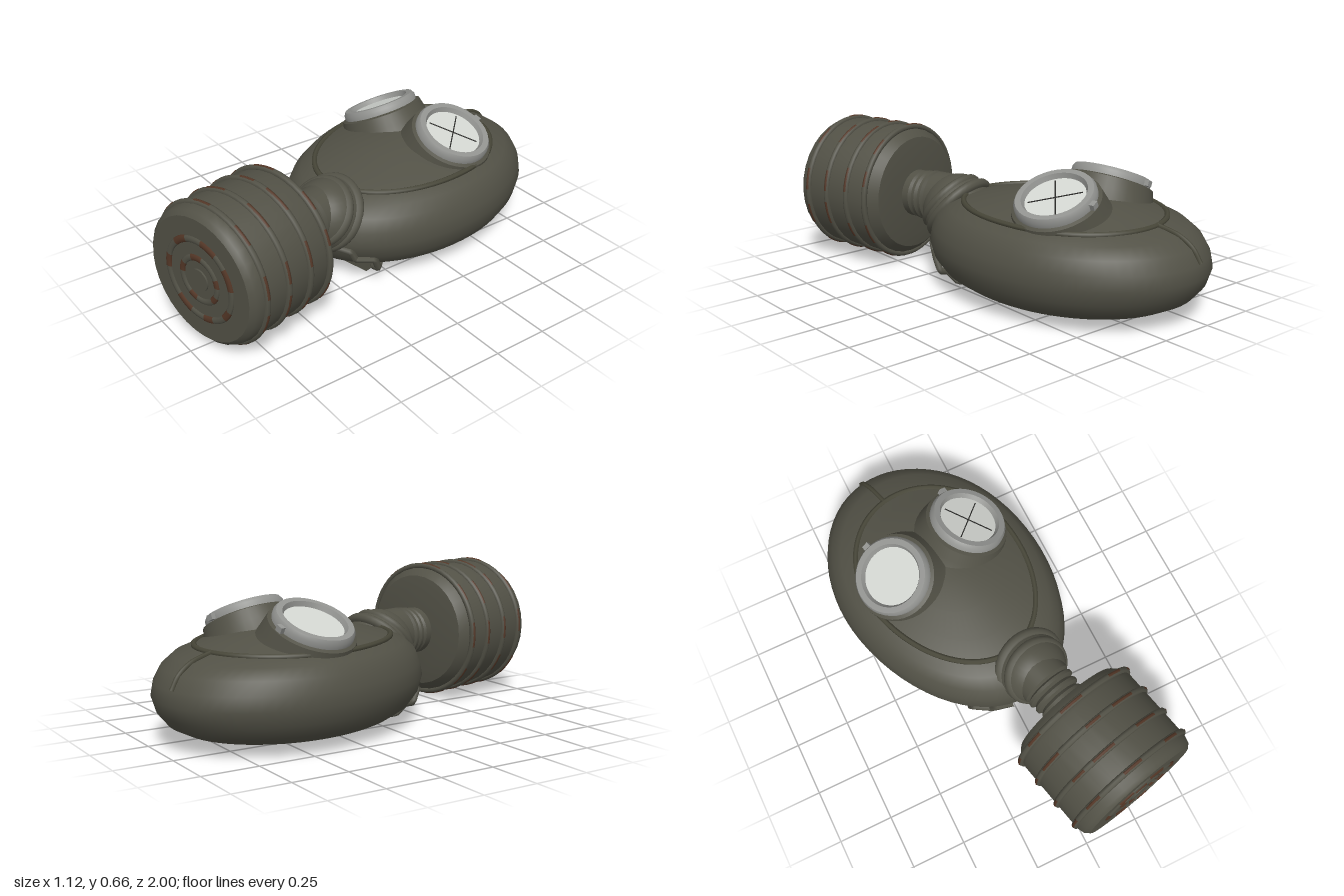
import * as THREE from 'three';
import { toCreasedNormals } from 'three/addons/utils/BufferGeometryUtils.js';

const mat = (name, color) => Object.assign(new THREE.MeshStandardMaterial({ color }), { name });
const V = (x, y, z) => new THREE.Vector3(x, y, z);

export function createModel() {
  const rubber = mat('olive rubber', 0x525146);
  const seamMat = mat('dark seam', 0x484739);
  const rust = mat('rust', 0x543727);
  const metal = mat('grey metal', 0x929390);
  const glass = mat('pale glass', 0xd2d5d0);
  const crackMat = mat('crack', 0x2a2a28);

  // Everything is built along z, then turned slightly about y
  const model = new THREE.Group();
  const mask = new THREE.Group();
  mask.name = 'gasMask';
  mask.position.x = 0.04;
  mask.rotation.y = 0.23;
  model.add(mask);

  const add = (name, geo, material, parent = mask) => {
    const m = new THREE.Mesh(geo, material);
    m.name = name;
    parent.add(m);
    return m;
  };
  const lathe = (pts, seg = 40) =>
    toCreasedNormals(new THREE.LatheGeometry(pts.map(p => new THREE.Vector2(p[0], p[1])), seg), 0.6);

  // Egg outline: half ellipses of different length behind and in front of CZ
  const CX = -0.02, CZ = -0.4, A = 0.48, BACK = 0.625, FRONT = 0.71;
  const egg = (t, su, sb, sf, y) => V(
    CX + A * su * Math.sin(t), y,
    CZ + Math.cos(t) * (Math.cos(t) > 0 ? FRONT * sf : BACK * sb));

  // Hood: stacked egg outlines [width, back, front, height]
  const rows = [
    [0, 0, 0, 0.035], [0.5, 0.5, 0.5, 0.035], [0.7, 0.68, 0.7, 0.04], [0.8, 0.78, 0.8, 0.055],
    [0.9, 0.89, 0.9, 0.09], [0.97, 0.965, 0.97, 0.145], [1, 1, 1, 0.21], [0.985, 0.98, 0.98, 0.27],
    [0.94, 0.92, 0.94, 0.328], [0.87, 0.82, 0.86, 0.37], [0.76, 0.655, 0.755, 0.398],
    [0.62, 0.54, 0.61, 0.422], [0.42, 0.36, 0.41, 0.456], [0.2, 0.18, 0.2, 0.477], [0, 0, 0, 0.482]];
  const N = 64, pos = [], idx = [];
  rows.forEach((r, i) => {
    for (let j = 0; j < N; j++) {
      pos.push(...egg(j / N * Math.PI * 2, ...r).toArray());
      if (i === rows.length - 1) continue;
      const a = i * N + j, b = i * N + (j + 1) % N;
      idx.push(a, b, b + N, a, b + N, a + N);
    }
  });
  const hood = new THREE.BufferGeometry();
  hood.setAttribute('position', new THREE.Float32BufferAttribute(pos, 3));
  hood.setIndex(idx);
  hood.computeVertexNormals();
  add('hood', hood, rubber);

  // Raised seam round the face and down the crown
  const seamPts = Array.from({ length: 40 }, (_, j) => egg(j / 40 * Math.PI * 2, 0.76, 0.655, 0.755, 0.398));
  add('faceSeam', new THREE.TubeGeometry(new THREE.CatmullRomCurve3(seamPts, true), 80, 0.013, 6, true), seamMat);
  const crown = [[0.655, 0.398], [0.82, 0.37], [0.92, 0.328], [0.98, 0.27]]
    .map(([s, y]) => egg(Math.PI, s, s, s, y + 0.002));
  add('crownSeam', new THREE.TubeGeometry(new THREE.CatmullRomCurve3(crown), 16, 0.011, 6), seamMat);

  // Eyepieces: flared cup, metal rim, glass and clip
  for (const side of [-1, 1]) {
    const eye = new THREE.Group();
    eye.name = side < 0 ? 'rightEyepiece' : 'leftEyepiece';
    eye.position.set(-0.025 + side * 0.222, 0.51, -0.447);
    eye.rotation.z = -side * 0.436;
    mask.add(eye);
    add('eyeCup', lathe([[0.265, -0.23], [0.225, -0.15], [0.207, -0.08], [0.194, -0.03], [0.165, -0.02]]), rubber, eye);
    add('eyeRim', lathe([[0.165, -0.035], [0.178, -0.03], [0.178, -0.002], [0.168, 0.014],
      [0.142, 0.014], [0.13, -0.01]]), metal, eye);
    const lens = add('lens', new THREE.CylinderGeometry(0.134, 0.134, 0.008, 40), glass, eye);
    lens.position.y = -0.011;
    const clip = add('rimClip', new THREE.BoxGeometry(0.032, 0.026, 0.03), metal, eye);
    clip.position.set(0, -0.01, -0.182);
    if (side > 0) for (const a of [-1.015, 0.555]) {
      const crack = add('lensCrack', new THREE.BoxGeometry(0.235, 0.003, 0.005), crackMat, eye);
      crack.position.y = -0.006;
      crack.rotation.y = a;
    }
  }

  // Snout: rounded joint, tilted bands and ribbed neck
  const joint = add('snoutJoint', new THREE.SphereGeometry(0.168, 32, 20), rubber);
  joint.position.set(0.01, 0.295, 0.215);
  for (const [y, z, r] of [[0.33, 0.26, 0.14], [0.305, 0.215, 0.157]]) {
    const band = add('snoutBand', new THREE.TorusGeometry(r, 0.025, 10, 40), rubber);
    band.position.set(0.01, y, z);
    band.rotation.x = -0.65;
  }
  const neck = add('ribbedNeck', lathe([[0.12, 0.2], [0.12, 0.34], [0.105, 0.35], [0.12, 0.36], [0.12, 0.375],
    [0.1, 0.385], [0.115, 0.4], [0.115, 0.415], [0.095, 0.425], [0.11, 0.44], [0.11, 0.49]], 28).rotateX(Math.PI / 2), rubber);
  neck.position.set(0.005, 0.335, 0);

  // Filter canister
  const filter = new THREE.Group();
  filter.name = 'filter';
  filter.position.y = 0.335;
  mask.add(filter);
  add('canister', lathe([[0, 0.475], [0.2, 0.475], [0.265, 0.485], [0.297, 0.52], [0.308, 0.56], [0.308, 0.91],
    [0.298, 0.945], [0.278, 0.963], [0, 0.963]], 32).rotateX(Math.PI / 2), rubber, filter);
  let seed = 7;
  const rand = () => (seed = (seed * 16807) % 2147483647) / 2147483647;
  // Ring with worn patches; flat scales its thickness along the axis
  const rustyRing = (name, r, tube, z, flat, patchR, patchTube, patches, length) => {
    const ring = add(name, new THREE.TorusGeometry(r, tube, 8, 48), rubber, filter);
    ring.position.z = z;
    ring.scale.z = flat;
    for (let i = 0; i < patches; i++) {
      const arc = length * (0.7 + rand() * 0.6);
      const patch = add('rustPatch', new THREE.TorusGeometry(patchR, patchTube, 8, 10, arc), rust, filter);
      patch.position.z = z;
      patch.scale.z = flat;
      patch.rotation.z = (i + rand() * 0.4) / patches * Math.PI * 2;
    }
  };
  for (const z of [0.535, 0.65, 0.775, 0.895]) rustyRing('canisterRib', 0.308, 0.014, z, 1, 0.315, 0.008, 9, 0.32);
  rustyRing('outerFaceRing', 0.18, 0.015, 0.963, 0.5, 0.18, 0.016, 7, 0.4);
  rustyRing('innerFaceRing', 0.099, 0.014, 0.963, 0.5, 0.099, 0.015, 5, 0.45);
  const cap = add('faceButton', new THREE.CylinderGeometry(0.05, 0.05, 0.01, 28).rotateX(Math.PI / 2), rubber, filter);
  cap.position.z = 0.965;

  // Chin flap with stepped hem on both sides
  for (const side of [-1, 1]) {
    const pts = [[0.12, 0.2, 0.285], [0.19, 0.18, 0.245], [0.2, 0.135, 0.225], [0.26, 0.13, 0.165],
      [0.26, 0.075, 0.14], [0.22, 0.065, 0.13], [0.21, 0.025, 0.08], [0.13, 0.018, -0.05]]
      .map(p => V(CX + side * p[0], p[1], p[2]));
    const path = new THREE.CurvePath();
    for (let i = 1; i < pts.length; i++) path.add(new THREE.LineCurve3(pts[i - 1], pts[i]));
    add('chinHem', new THREE.TubeGeometry(path, 56, 0.016, 6), rubber);
  }
  [[0.28, 0.022, 0.14, 0.016, 0.01], [0.38, 0.03, 0.1, 0.04, 0.09], [0.4, 0.05, 0.09, 0.08, 0.12]].forEach(([w, h, d, y, z]) => {
    add('chinFlap', new THREE.BoxGeometry(w, h, d), rubber).position.set(CX, y, z);
  });

  return model;
}
